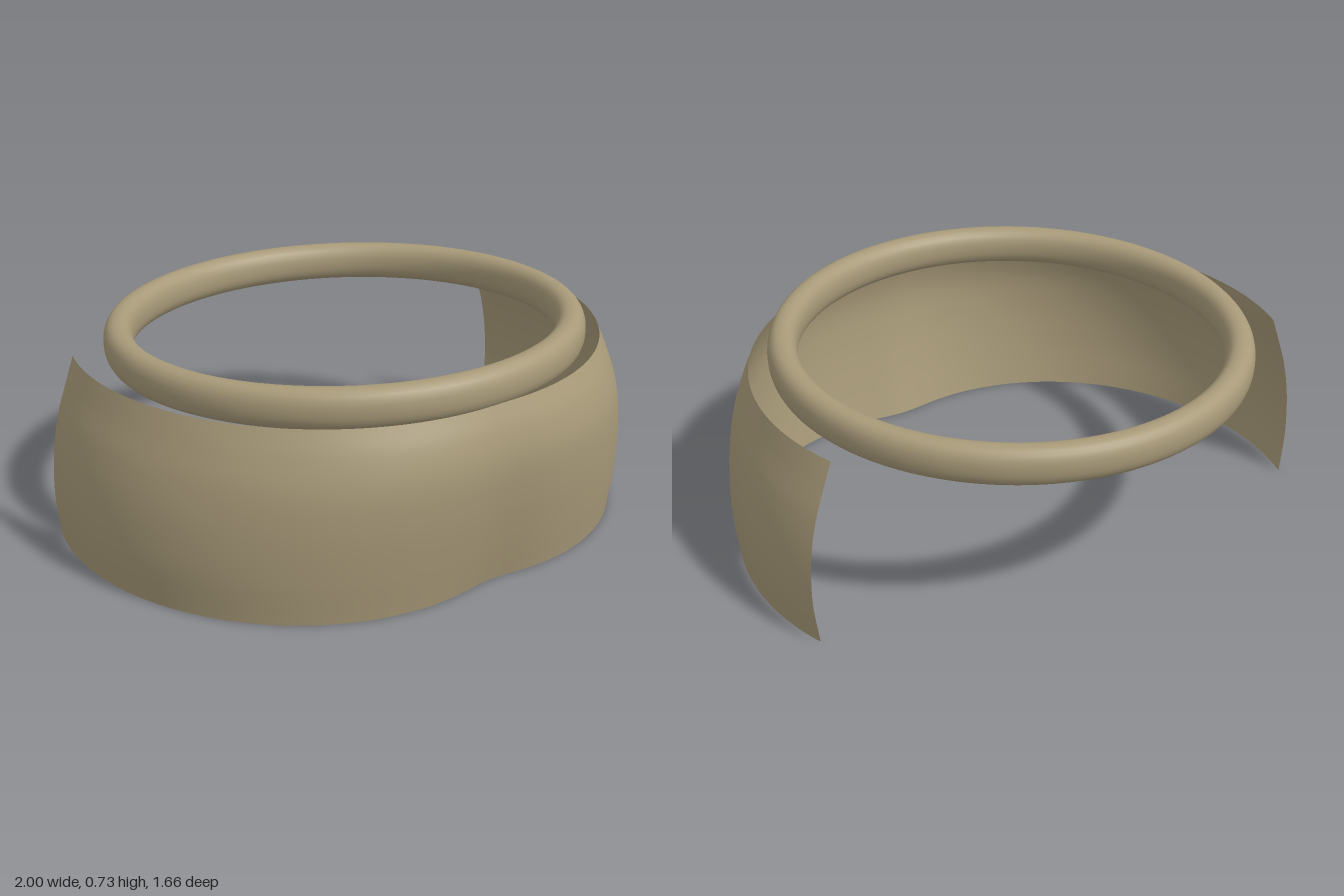
import * as THREE from 'three';

const tan = new THREE.MeshStandardMaterial({ color: 0xa89a79, side: THREE.DoubleSide });
tan.name = 'tan';

// Smooth grid surface from a point rule p(u, v), u and v in 0..1
function gridSurface(nu, nv, point, closed) {
  const pos = [], index = [];
  const cols = closed ? nu : nu + 1, rows = closed ? nv : nv + 1;
  for (let i = 0; i < cols; i++)
    for (let j = 0; j < rows; j++) pos.push(...point(i / nu, j / nv));
  for (let i = 0; i < nu; i++)
    for (let j = 0; j < nv; j++) {
      const i2 = (i + 1) % cols, j2 = (j + 1) % rows;
      const a = i * rows + j, b = i2 * rows + j, c = i2 * rows + j2, d = i * rows + j2;
      index.push(a, b, c, a, c, d);
    }
  const g = new THREE.BufferGeometry();
  g.setAttribute('position', new THREE.Float32BufferAttribute(pos, 3));
  g.setIndex(index);
  g.computeVertexNormals();
  return g;
}

// Wall profile: height, widest half-width, lobe centre offset, front z
const profile = new THREE.CatmullRomCurve3([
  [0.985, 0, 0.76], [1.0, 0.16, 0.793], [0.99, 0.32, 0.82],
  [0.963, 0.45, 0.83], [0.93, 0.55, 0.813], [0.905, 0.63, 0.78],
].map(p => new THREE.Vector3(...p)));

const ZC = -0.08; // z of the lobe centres

// Two mirrored lobes joined by a softened dip at the front centre
function wallPoint(u, v) {
  const p = profile.getPoint(v);
  const cx = 0.21 - 0.15 * v;
  const rx = p.x - cx, rz = p.z - ZC;
  const s = u * 2 - 1;
  const zEnd = -0.372 + 0.012 * v;
  const t0 = Math.asin((zEnd - ZC) / rz);
  const t1 = Math.PI - Math.acos(cx / rx);
  const t = t1 + (t0 - t1) * Math.abs(s);
  const x = Math.max(0, cx + rx * Math.cos(t));
  let z = ZC + rz * Math.sin(t);
  const w = 0.1;
  if (x < w) {
    const soft = (x * x / w + w) / 2;
    z = ZC + rz * Math.sqrt(1 - ((soft - cx) / rx) ** 2);
  }
  return [Math.sign(s) * x, p.y, z];
}

// Ring with a slightly squared, upright cross-section
function ringPoint(u, v) {
  const a = u * Math.PI * 2, b = v * Math.PI * 2;
  const pow = k => Math.sign(k) * Math.abs(k) ** 0.88;
  const r = 0.05 * pow(Math.cos(b)), h = 0.066 * pow(Math.sin(b));
  return [(0.766 + r) * Math.sin(a), h, (0.753 + r) * Math.cos(a)];
}

export function createModel() {
  const group = new THREE.Group();

  const wall = new THREE.Mesh(gridSurface(160, 28, wallPoint, false), tan);
  wall.name = 'wrapAroundWall';
  group.add(wall);

  const ring = new THREE.Mesh(gridSurface(128, 24, ringPoint, true), tan);
  ring.name = 'tiltedRing';
  ring.position.set(0, 0.645, -0.026);
  ring.rotation.set(-0.031, 0, 0.006);
  group.add(ring);

  return group;
}
